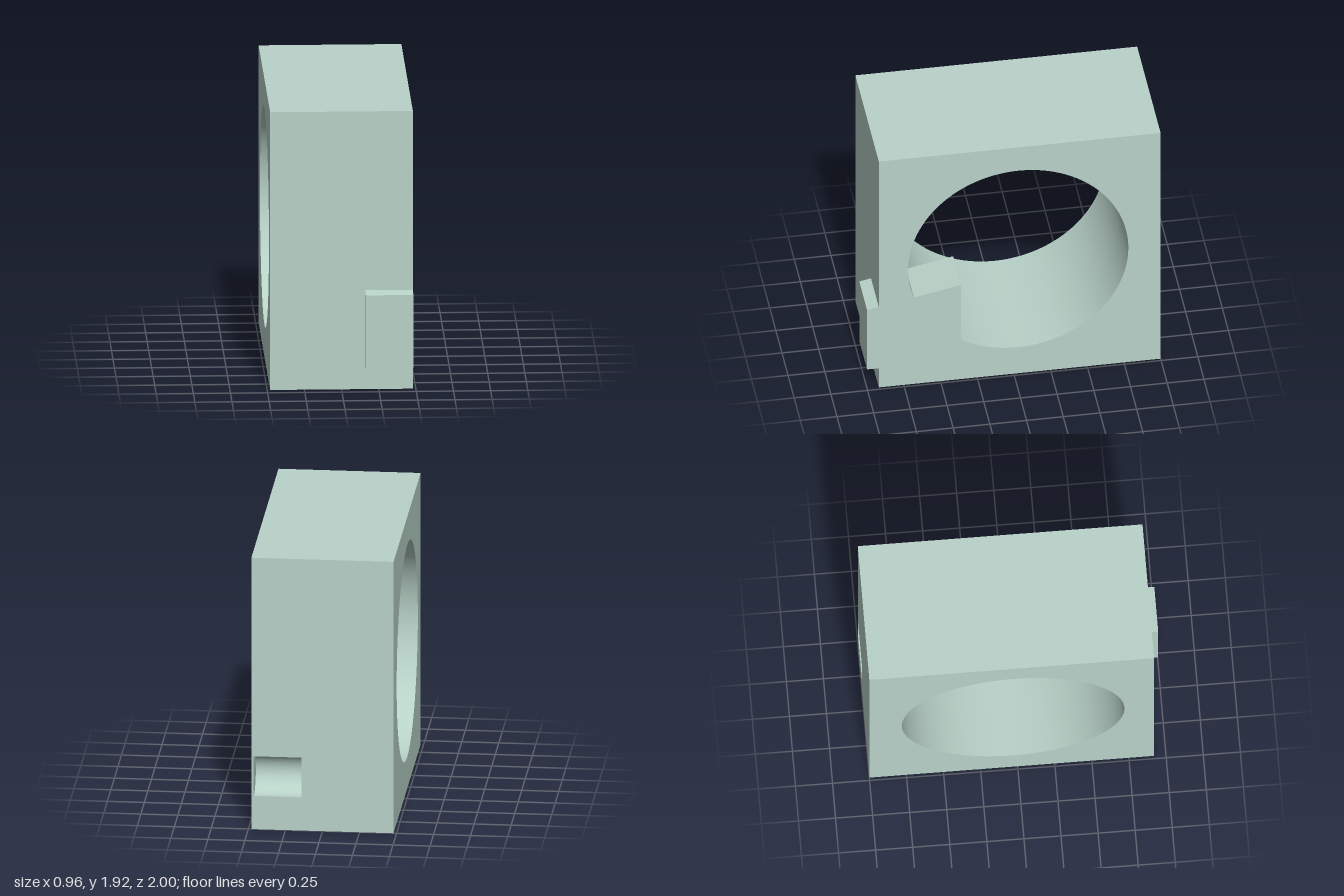
import * as THREE from 'three';
import { toCreasedNormals } from 'three/addons/utils/BufferGeometryUtils.js';

const material = new THREE.MeshStandardMaterial({ color: 0xb8d2c8 });

// Extrudes a side profile, drawn as (-z, y), from x0 to x1.
function slab(name, shape, x0, x1) {
  const geometry = new THREE.ExtrudeGeometry(shape, {
    depth: x1 - x0, bevelEnabled: false, curveSegments: 96,
  });
  geometry.translate(0, 0, x0);
  geometry.rotateY(Math.PI / 2);
  const mesh = new THREE.Mesh(toCreasedNormals(geometry, Math.PI / 6), material);
  mesh.name = name;
  return mesh;
}

// Square block with a round bore, optionally with a rounded socket in its back.
function bodyProfile(withSocket) {
  const shape = new THREE.Shape();
  shape.moveTo(-0.92, 0);
  shape.lineTo(1, 0);
  if (withSocket) {
    const r = 0.142, inset = 0.02, a = Math.acos(inset / r);
    shape.absarc(1 - inset, 0.375, r, -a, a, true);
  }
  shape.lineTo(1, 1.92);
  shape.lineTo(-0.92, 1.92);
  shape.closePath();
  const bore = new THREE.Path();
  bore.absarc(0.03, 0.972, 0.75, 0, Math.PI * 2, true);
  shape.holes.push(bore);
  return shape;
}

export function createModel() {
  const group = new THREE.Group();
  group.name = 'boredBlock';

  // Block, in layers so that the socket is closed at both ends
  const body = new THREE.Group();
  body.name = 'body';
  body.add(
    slab('bodyMain', bodyProfile(false), -0.48, 0.14),
    slab('bodySocketLayer', bodyProfile(true), 0.14, 0.465),
    slab('bodySideWall', bodyProfile(false), 0.465, 0.48),
  );
  group.add(body);

  // Slant-topped arm: pokes into the bore and out through the front
  const arm = new THREE.Shape([
    new THREE.Vector2(-1, 0.163),
    new THREE.Vector2(-0.36, 0.163),
    new THREE.Vector2(-0.36, 0.8),
    new THREE.Vector2(-1, 0.667),
  ]);
  group.add(slab('latchArm', arm, 0.16, 0.48));

  return group;
}
